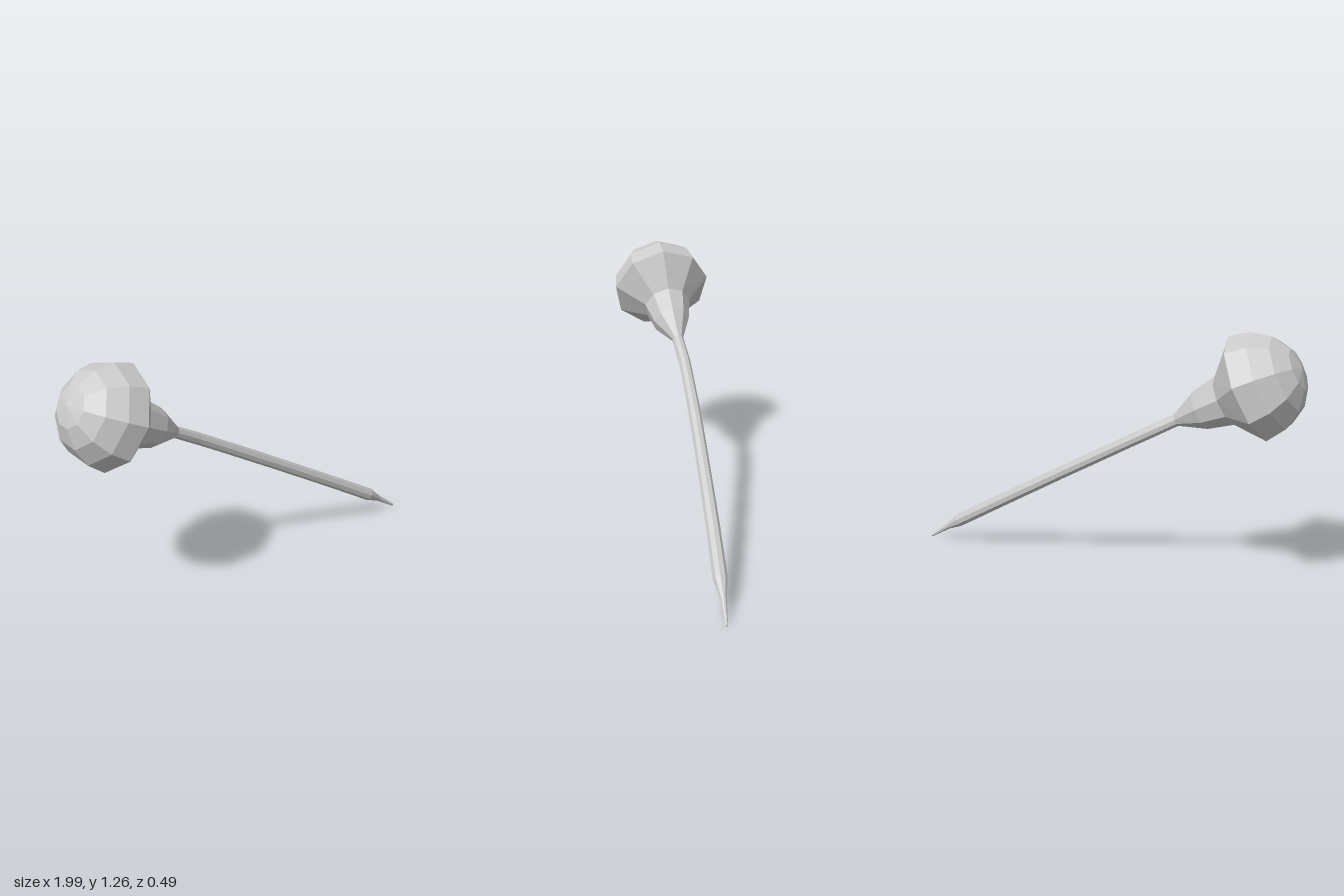
import * as THREE from 'three';

const SIDES = 9;
const TWIST = -0.06;
const V = (x, y, z) => new THREE.Vector3(x, y, z);
const UP = V(0, 1, 0);

// One nine-sided ring of points around centre c, facing along n
function ringPoints({ c, n, r }) {
  const u = UP.clone().addScaledVector(n, -n.y).normalize();
  const w = n.clone().cross(u);
  return Array.from({ length: SIDES }, (_, j) => {
    const a = (j / SIDES) * Math.PI * 2 + TWIST;
    return c.clone().addScaledVector(u, r * Math.cos(a)).addScaledVector(w, r * Math.sin(a));
  });
}

// Skin a sequence of rings; a ring of radius 0 closes the end
function loft(name, rings, material) {
  const pos = [];
  const tri = (...pts) => pts.forEach((p) => pos.push(p.x, p.y, p.z));
  const loops = rings.map(ringPoints);
  for (let i = 0; i < rings.length - 1; i++) {
    for (let j = 0; j < SIDES; j++) {
      const k = (j + 1) % SIDES;
      const a = loops[i][j], b = loops[i][k], c = loops[i + 1][k], d = loops[i + 1][j];
      if (rings[i].r > 0) tri(a, b, c);
      if (rings[i + 1].r > 0) tri(a, c, d);
      else if (rings[i].r > 0) continue;
    }
  }
  const geo = new THREE.BufferGeometry();
  geo.setAttribute('position', new THREE.Float32BufferAttribute(pos, 3));
  geo.computeVertexNormals();
  const mesh = new THREE.Mesh(geo, material);
  mesh.name = name;
  return mesh;
}

export function createModel() {
  const group = new THREE.Group();
  group.name = 'mushroom';
  const material = new THREE.MeshStandardMaterial({ color: 0xcccccc, flatShading: true });

  // Centre line from the pointed foot up to the cap: x, y, z, radius
  const path = [
    [0.995, 0.003, -0.105, 0],
    [0.99, 0.007, -0.105, 0.006],
    [0.88, 0.082, -0.105, 0.016],
    [0.805, 0.13, -0.102, 0.034],
    [0.6, 0.25, -0.101, 0.033],
    [0.4, 0.366, -0.097, 0.032],
    [0.2, 0.482, -0.092, 0.031],
    [0.0, 0.597, -0.085, 0.031],
    [-0.15, 0.683, -0.077, 0.03],
    [-0.28, 0.757, -0.068, 0.03],
    [-0.41, 0.83, -0.05, 0.029],
    [-0.526, 0.89, -0.03, 0.094],
    [-0.637, 0.946, -0.018, 0.12],
  ];
  const capCentre = V(-0.744, 1.01, 0.002);
  const capAxis = V(-0.887, 0.444, 0.127).normalize();
  const centres = [...path.map(([x, y, z]) => V(x, y, z)), capCentre];
  const rings = path.map((p, i) => ({
    c: centres[i],
    n: centres[i + 1].clone().sub(centres[Math.max(i - 1, 0)]).normalize(),
    r: p[3],
  }));

  // Long curved stem with its sharpened foot, then the flared collar
  group.add(loft('stem', rings.slice(0, 11), material));
  group.add(loft('collar', rings.slice(10), material));

  // Cap: sloping underside, rim, then a faceted half dome
  const radius = 0.251, bands = 4;
  const dome = Array.from({ length: bands + 1 }, (_, i) => {
    const a = (i / bands) * Math.PI / 2;
    return {
      c: capCentre.clone().addScaledVector(capAxis, radius * Math.sin(a)),
      n: capAxis,
      r: i === bands ? 0 : radius * Math.cos(a),
    };
  });
  group.add(loft('cap', [rings[rings.length - 1], ...dome], material));
  return group;
}
